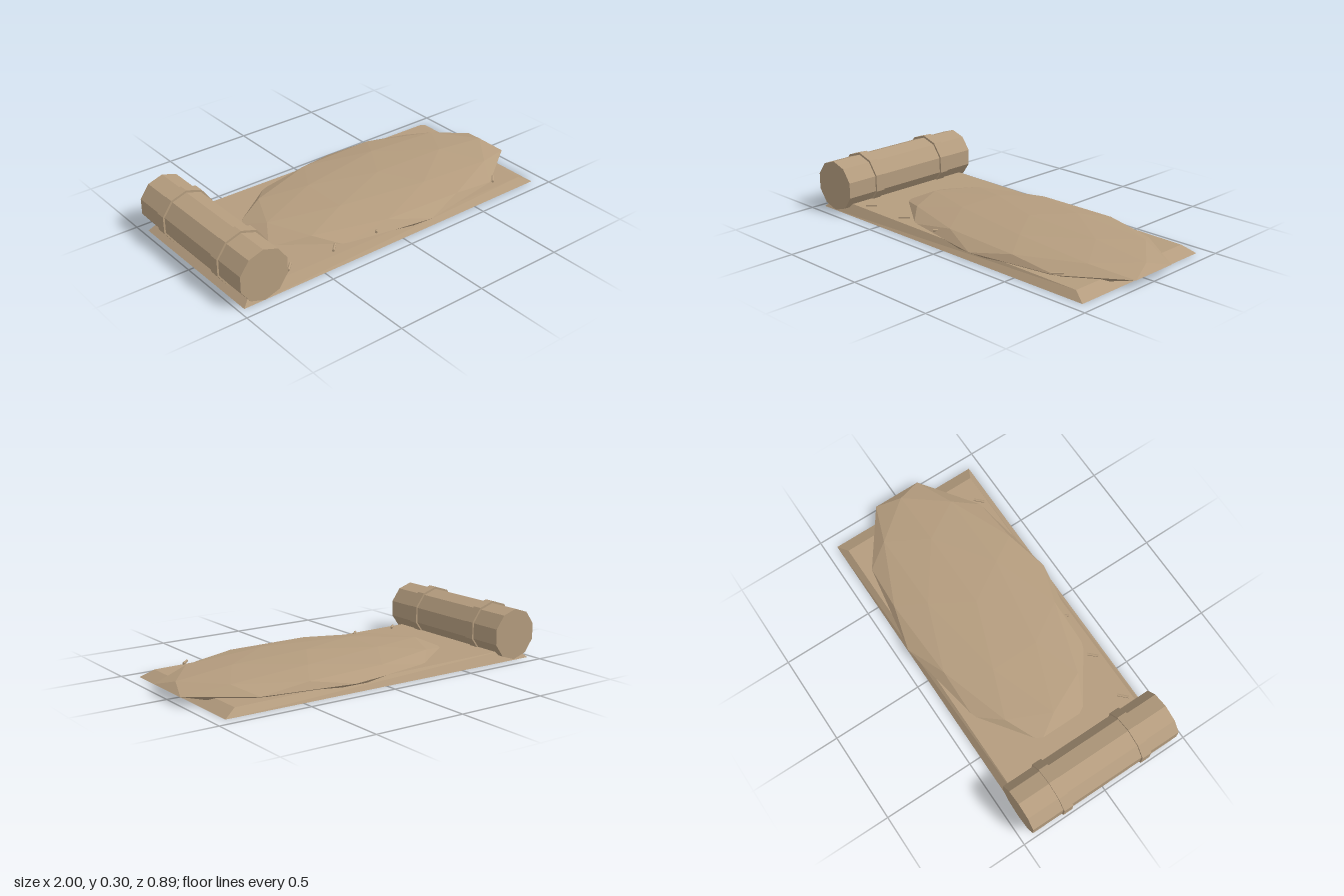
import * as THREE from 'three';

export function createModel() {
  const model = new THREE.Group();
  const canvas = new THREE.MeshStandardMaterial({ color: 0xb49c7e, flatShading: true });
  canvas.name = 'tan canvas';

  const add = (name, geometry, x = 0, y = 0, z = 0) => {
    const mesh = new THREE.Mesh(geometry, canvas);
    mesh.name = name;
    mesh.position.set(x, y, z);
    model.add(mesh);
    return mesh;
  };

  // Ground mat: a thin slab with bevelled sides, slightly thicker at the head end
  const mat = new THREE.BoxGeometry(2, 2, 2);
  const p = mat.attributes.position;
  for (let i = 0; i < p.count; i++) {
    const right = p.getX(i) > 0, top = p.getY(i) > 0, front = p.getZ(i) > 0;
    p.setXYZ(i,
      right ? (top ? 0.86 : 0.93) : (top ? -0.91 : -0.97),
      top ? (right ? 0.037 : 0.055) : 0,
      (front ? 1 : -1) * (top ? 0.4 : 0.435));
  }
  add('mat', mat);

  // Blanket: a squashed icosphere, a vertex pointing up, its underside flattened
  const blanket = new THREE.IcosahedronGeometry(1, 1);
  blanket.rotateZ(-Math.atan(2 / (1 + Math.sqrt(5))));
  blanket.scale(0.85, 0.083, 0.437);
  blanket.translate(0.19, 0.045, 0);
  const b = blanket.attributes.position;
  for (let i = 0; i < b.count; i++) b.setY(i, Math.max(b.getY(i), 0.002));
  blanket.computeVertexNormals();
  add('blanket', blanket);

  // Rolled bedding at the head, with two straps
  const drum = (radius, length) =>
    new THREE.CylinderGeometry(radius, radius, length, 10).rotateX(Math.PI / 2);
  add('bedRoll', drum(0.139, 0.89), -0.858, 0.147, 0);
  for (const side of [-1, 1]) add('strap', drum(0.149, 0.053), -0.858, 0.149, side * 0.239);

  // Row of small toggles along the front edge
  for (let i = 0; i < 6; i++) {
    const toggle = new THREE.CylinderGeometry(0.007, 0.007, 0.06, 6).rotateX(Math.PI / 2);
    add('toggle', toggle, -0.655 + i * 0.272, 0.061, 0.357).rotation.y = -Math.PI / 4 + Math.PI;
  }
  model.children.filter((m) => m.name === 'toggle').forEach((m) => { m.rotation.y = -Math.PI / 4; });

  return model;
}
